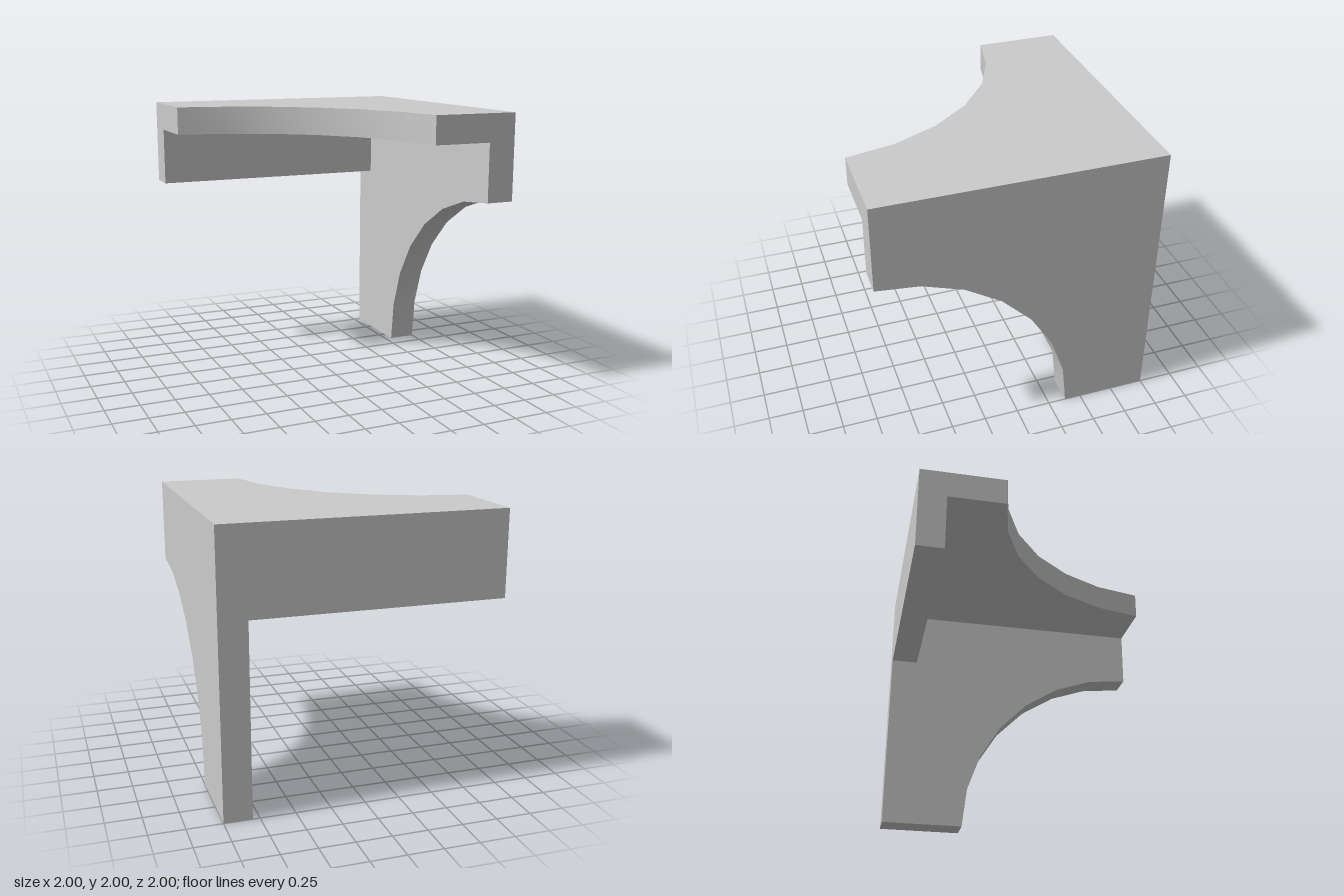
import * as THREE from 'three';
import { toCreasedNormals } from 'three/addons/utils/BufferGeometryUtils.js';

const T = 0.2; // plate thickness
const R = 1.38; // radius of the curved cut-outs

export function createModel() {
  const group = new THREE.Group();
  const material = new THREE.MeshStandardMaterial({ color: 0xcccccc });

  const add = (name, geometry) => {
    const mesh = new THREE.Mesh(geometry, material);
    mesh.name = name;
    group.add(mesh);
    return mesh;
  };

  // Plate cut from an outline, smooth along the curve and sharp at the rims
  const plate = (points) => toCreasedNormals(
    new THREE.ExtrudeGeometry(
      new THREE.Shape(points.map(([a, b]) => new THREE.Vector2(a, b))),
      { depth: T, bevelEnabled: false }
    ).rotateX(0), 0.5);

  // Top plate: square with a faceted concave front-left corner (outline in x, -z)
  const top = plate([
    [-1, 0.38], [-0.66, 0.31], [-0.35, 0.17], [-0.07, -0.05],
    [0.15, -0.33], [0.3, -0.65], [0.375, -1], [1, -1], [1, 1], [-1, 1],
  ]);
  top.rotateX(-Math.PI / 2);
  add('topPlate', top).position.y = 2 - T;

  // Side plate: quarter-circle cut below the top (outline in z, y)
  const arc = [];
  for (let i = 0; i <= 7; i++) {
    const a = (i / 7) * Math.PI / 2;
    arc.push([1 - R * Math.sin(a), R * Math.cos(a)]);
  }
  const side = plate([...arc, [-1, 0], [-1, 2 - T], [1, 2 - T]]);
  side.rotateY(-Math.PI / 2);
  add('sidePlate', side).position.x = 1;

  // Back rail hanging below the top plate
  add('backRail', new THREE.BoxGeometry(2 - T, 2 - T - R, T))
    .position.set(-T / 2, (2 - T + R) / 2, -1 + T / 2);

  return group;
}
